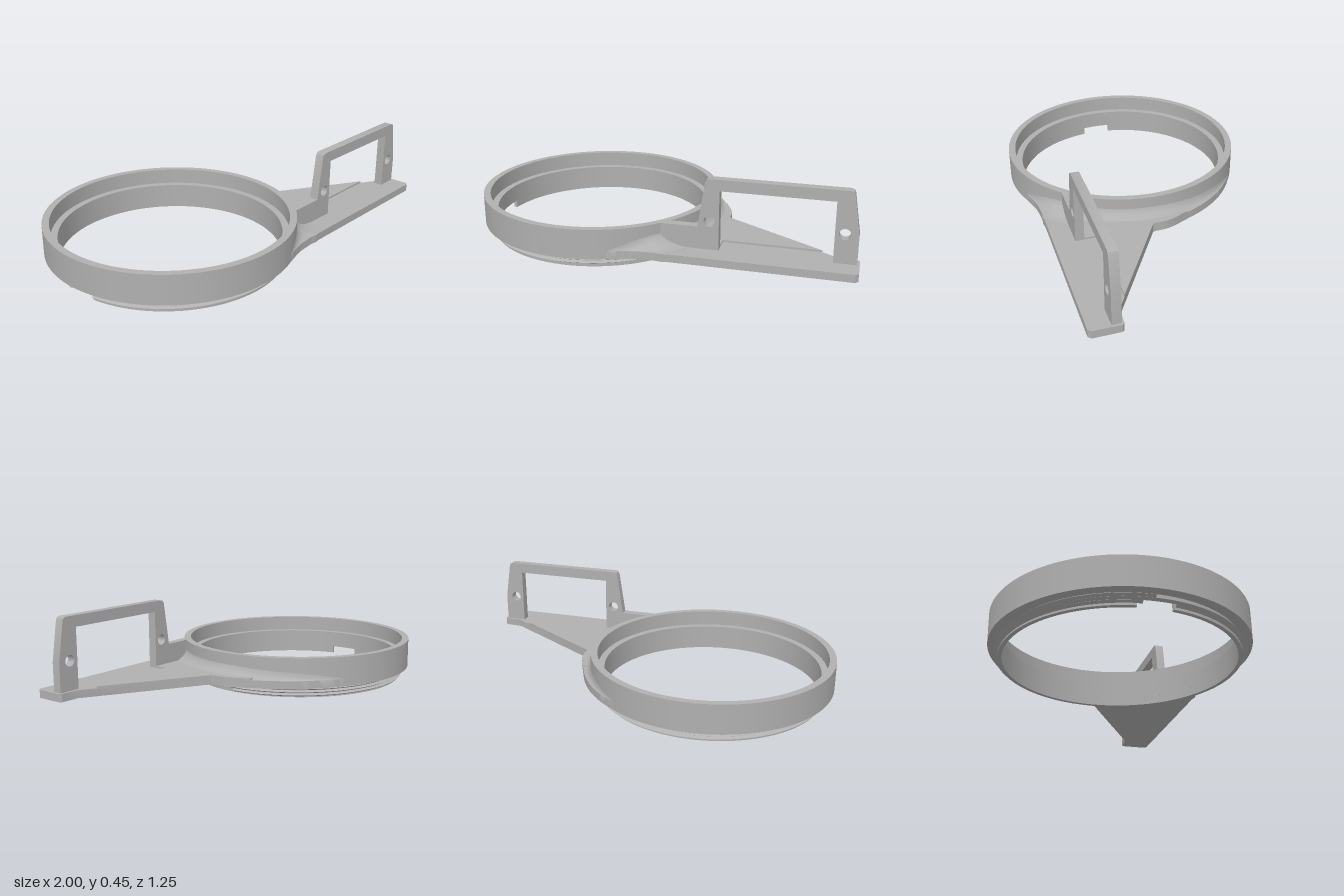
import * as THREE from 'three';
import { toCreasedNormals } from 'three/addons/utils/BufferGeometryUtils.js';

const CX = -0.375; // ring centre
const RAD = Math.PI / 180;
const V = (x, y) => new THREE.Vector2(x, y);
const polar = (r, a) => V(CX + r * Math.cos(a), r * Math.sin(a));

export function createModel() {
  const grey = new THREE.MeshStandardMaterial({ color: 0xb0b0b0 });
  grey.name = 'grey plastic';
  const group = new THREE.Group();

  const add = (name, geometry, crease = 0.6) => {
    const mesh = new THREE.Mesh(toCreasedNormals(geometry, crease), grey);
    mesh.name = name;
    group.add(mesh);
    return mesh;
  };

  // Extrude a plan outline (x, z) between two heights
  const slab = (shape, y0, y1) => {
    const g = new THREE.ExtrudeGeometry(shape, { depth: y1 - y0, bevelEnabled: false, curveSegments: 96 });
    return g.rotateX(Math.PI / 2).translate(0, y1, 0);
  };

  // Grid of points (rows i, columns j) turned into a surface
  const surface = (rows, keep = () => true) => {
    const n = rows[0].length;
    const index = [];
    for (let i = 0; i < rows.length - 1; i++) {
      if (!keep(i)) continue;
      for (let j = 0; j < n - 1; j++) {
        const a = i * n + j, b = a + n;
        index.push(a, b, a + 1, b, b + 1, a + 1);
      }
    }
    const g = new THREE.BufferGeometry();
    g.setAttribute('position', new THREE.Float32BufferAttribute(rows.flat(2), 3));
    g.setIndex(index);
    g.computeVertexNormals();
    return g;
  };

  // Main ring with an inner ledge
  const ringProfile = [
    [0.555, 0.04], [0.575, 0.04], [0.575, 0.06], [0.625, 0.06], [0.625, 0.21],
    [0.59, 0.21], [0.59, 0.13], [0.555, 0.13], [0.555, 0.04],
  ].map((p) => V(...p));
  add('ring', new THREE.LatheGeometry(ringProfile, 128)).position.x = CX;

  // Lower collar, with a notch on the far side from the arm
  const gap = 0.14;
  const collar = new THREE.Shape();
  collar.absarc(CX, 0, 0.575, -Math.PI + gap, Math.PI - gap, false);
  collar.absarc(CX, 0, 0.555, Math.PI - gap, -Math.PI + gap, true);
  add('collar', slab(collar, 0, 0.04));

  // Helical thread around the collar
  const steps = 320, turns = 2.5;
  const thread = [];
  for (let i = 0; i <= steps; i++) {
    const a = (i / steps) * turns * Math.PI * 2;
    const y = 0.011 + 0.04 * (i / steps);
    thread.push([[0.574, y - 0.008], [0.589, y], [0.574, y + 0.008]].map(([r, h]) =>
      [CX + r * Math.cos(a), h, -r * Math.sin(a)]));
  }
  const inNotch = (i) => Math.abs((i / steps) * turns * Math.PI * 2 - Math.PI) < gap;
  add('thread', surface(thread, (i) => !inNotch(i)), 0.4);

  // Flange width beyond the ring, by angle in degrees
  const flange = new THREE.SplineCurve([
    [-60, 0], [-40, 0.018], [-16, 0.047], [-6, 0.075], [0, 0.085], [20, 0.085],
    [40, 0.113], [48, 0.113], [52, 0.072], [60, 0.022], [72, 0],
  ].map((p) => V(...p))).getPoints(80);

  // Concave fillet from the ring wall down to the arm
  const fillet = flange.map(({ x, y: w }) => {
    const row = [];
    for (let j = 0; j <= 10; j++) {
      const t = (j / 10) * Math.PI / 2;
      const p = polar(0.621 + w * (1 - Math.cos(t)), x * RAD);
      row.push([p.x, 0.1 + 0.075 * (1 - Math.sin(t)), p.y]);
    }
    const end = row[row.length - 1];
    row.push([end[0], 0.06, end[2]]);
    return row;
  });
  add('fillet', surface(fillet));

  // Flat arm plate
  const edge = (test) => flange.filter((f) => test(f.x)).map((f) => polar(0.621 + f.y, f.x * RAD));
  const innerArc = (from, to) => {
    const pts = [];
    for (let i = 0; i <= 40; i++) pts.push(polar(0.6, (from + (to - from) * i / 40) * RAD));
    return pts;
  };
  const arm = new THREE.Shape([
    ...edge((a) => a <= 2), V(0.335, 0.04), V(0.9, 0.38), V(0.99, 0.385), V(1, 0.395),
    V(1, 0.53), V(0.985, 0.545), V(0.13, 0.545), ...edge((a) => a > 49), ...innerArc(72, -60),
  ]);
  add('armPlate', slab(arm, 0.06, 0.099));

  // Slightly raised web behind the frame, leaving a shallow recess
  const web = new THREE.Shape([
    ...edge((a) => a > -16 && a <= 2), V(0.335, 0.04), V(0.825, 0.335), V(0.35, 0.335),
    V(0.35, 0.4), ...innerArc(41, -15),
  ]);
  add('armWeb', slab(web, 0.09, 0.108));

  // Upright frame with window, screw holes and a tie to the ring
  const frame = new THREE.Shape([
    [0.07, 0.07], [0.988, 0.07], [0.988, 0.24], [0.957, 0.432], [0.951, 0.445], [0.938, 0.45],
    [0.302, 0.45], [0.288, 0.445], [0.281, 0.432], [0.248, 0.21], [0.07, 0.21],
  ].map((p) => V(...p)));
  frame.holes.push(new THREE.Path([
    [0.35, 0.098], [0.35, 0.395], [0.88, 0.395], [0.88, 0.098],
  ].map((p) => V(...p))));
  for (const x of [0.305, 0.925]) {
    frame.holes.push(new THREE.Path().absarc(x, 0.242, 0.027, 0, Math.PI * 2, true));
  }
  const frameGeo = new THREE.ExtrudeGeometry(frame, { depth: 0.045, bevelEnabled: false, curveSegments: 24 });
  add('uprightFrame', frameGeo.translate(0, 0, 0.396));

  return group;
}
